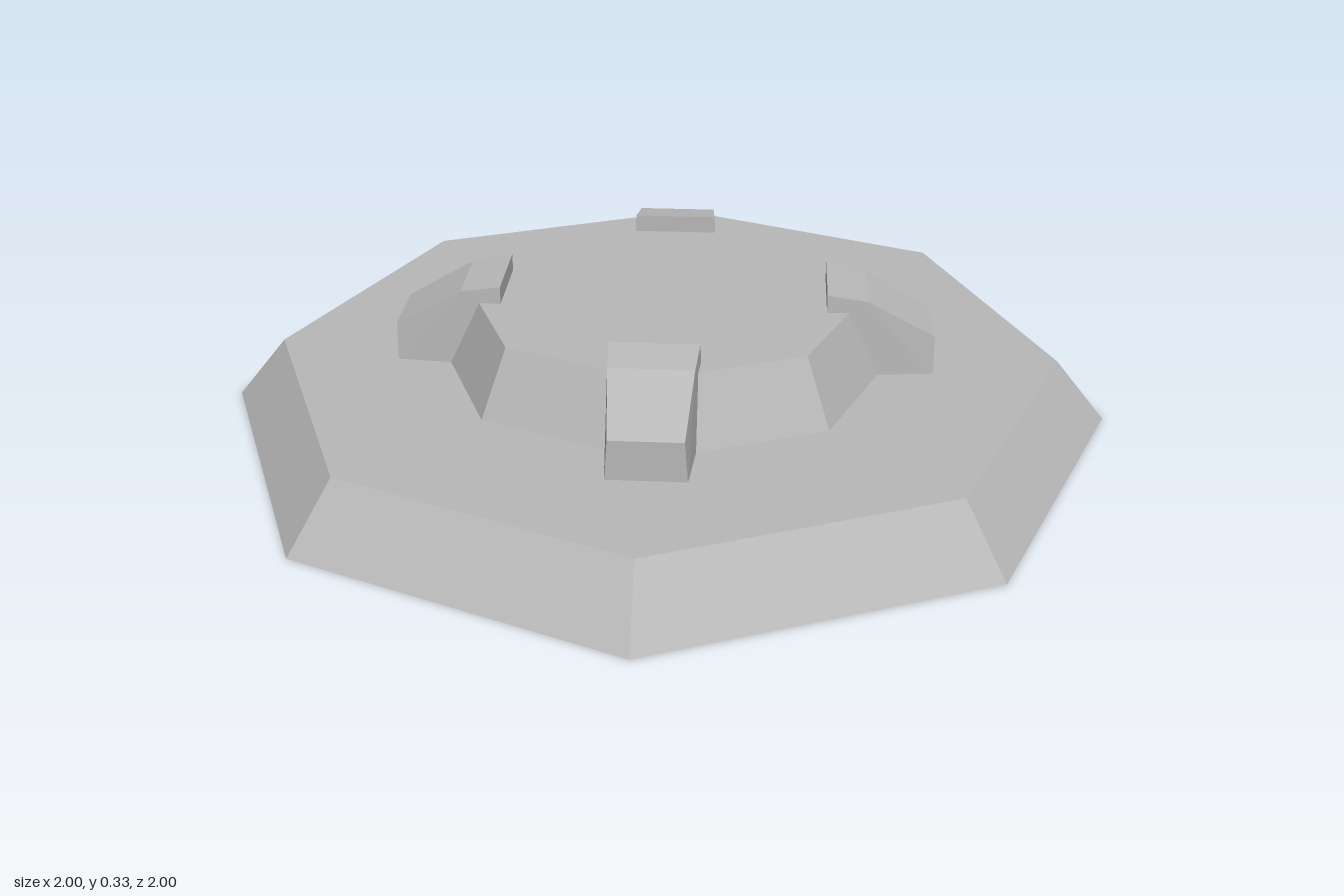
import * as THREE from 'three';

const grey = new THREE.MeshStandardMaterial({ color: 0xb8b8b8, side: THREE.DoubleSide, flatShading: true });
grey.name = 'plain grey';

// Joins equal-length closed loops of [x, y, z] points with quads; optionally caps the last loop.
function loft(loops, capEnd) {
  const n = loops[0].length;
  const positions = [];
  const tri = (a, b, c) => positions.push(...a, ...b, ...c);
  for (let i = 0; i < loops.length - 1; i++) {
    for (let j = 0; j < n; j++) {
      const k = (j + 1) % n;
      const [a, b, c, d] = [loops[i][j], loops[i][k], loops[i + 1][k], loops[i + 1][j]];
      tri(a, b, c);
      tri(a, c, d);
    }
  }
  if (capEnd) {
    const last = loops[loops.length - 1];
    for (let j = 1; j < n - 1; j++) tri(last[0], last[j], last[j + 1]);
  }
  const geometry = new THREE.BufferGeometry();
  geometry.setAttribute('position', new THREE.Float32BufferAttribute(positions, 3));
  geometry.computeVertexNormals();
  return geometry;
}

// Eight corners, with corners on the x and z axes.
const octagon = (radius, y) => Array.from({ length: 8 }, (_, i) => {
  const a = i * Math.PI / 4;
  return [radius * Math.sin(a), y, radius * Math.cos(a)];
});

// Clamp cross-section: [distance from centre, height, half width], open underneath.
function clampGeometry() {
  const profile = [
    [0.6, 0.13, 0.084], [0.6, 0.23, 0.077], [0.45, 0.315, 0.089],
    [0.36, 0.33, 0.095], [0.36, 0.285, 0.097], [0.41, 0.13, 0.099],
  ];
  const side = (s) => profile.map(([r, y, w]) => [s * w, y, r]);
  const left = side(1), right = side(-1);
  const positions = [];
  const tri = (a, b, c) => positions.push(...a, ...b, ...c);
  for (let i = 0; i < profile.length - 1; i++) {
    tri(left[i], left[i + 1], right[i + 1]);
    tri(left[i], right[i + 1], right[i]);
  }
  // Side walls, fanned from the shoulder so the concave inner end stays clean.
  for (const [pts, flip] of [[left, false], [right, true]]) {
    for (const [a, b, c] of [[2, 0, 1], [2, 5, 0], [2, 4, 5], [2, 3, 4]]) {
      if (flip) tri(pts[a], pts[b], pts[c]);
      else tri(pts[a], pts[c], pts[b]);
    }
  }
  const geometry = new THREE.BufferGeometry();
  geometry.setAttribute('position', new THREE.Float32BufferAttribute(positions, 3));
  geometry.computeVertexNormals();
  return geometry;
}

export function createModel() {
  const model = new THREE.Group();
  model.name = 'octagonalPlatform';
  const add = (name, geometry) => {
    const mesh = new THREE.Mesh(geometry, grey);
    mesh.name = name;
    model.add(mesh);
    return mesh;
  };

  // Hollow stepped shell, open at the bottom
  add('baseSlope', loft([octagon(1, 0), octagon(0.885, 0.142)]));
  add('deck', loft([octagon(0.885, 0.142), octagon(0.517, 0.142)]));
  add('raisedCentre', loft([octagon(0.517, 0.142), octagon(0.447, 0.29)], true));

  // Four clamps gripping the raised centre
  const clamp = clampGeometry();
  ['frontClamp', 'leftClamp', 'backClamp', 'rightClamp'].forEach((name, i) => {
    add(name, clamp).rotation.y = i * Math.PI / 2;
  });
  return model;
}
